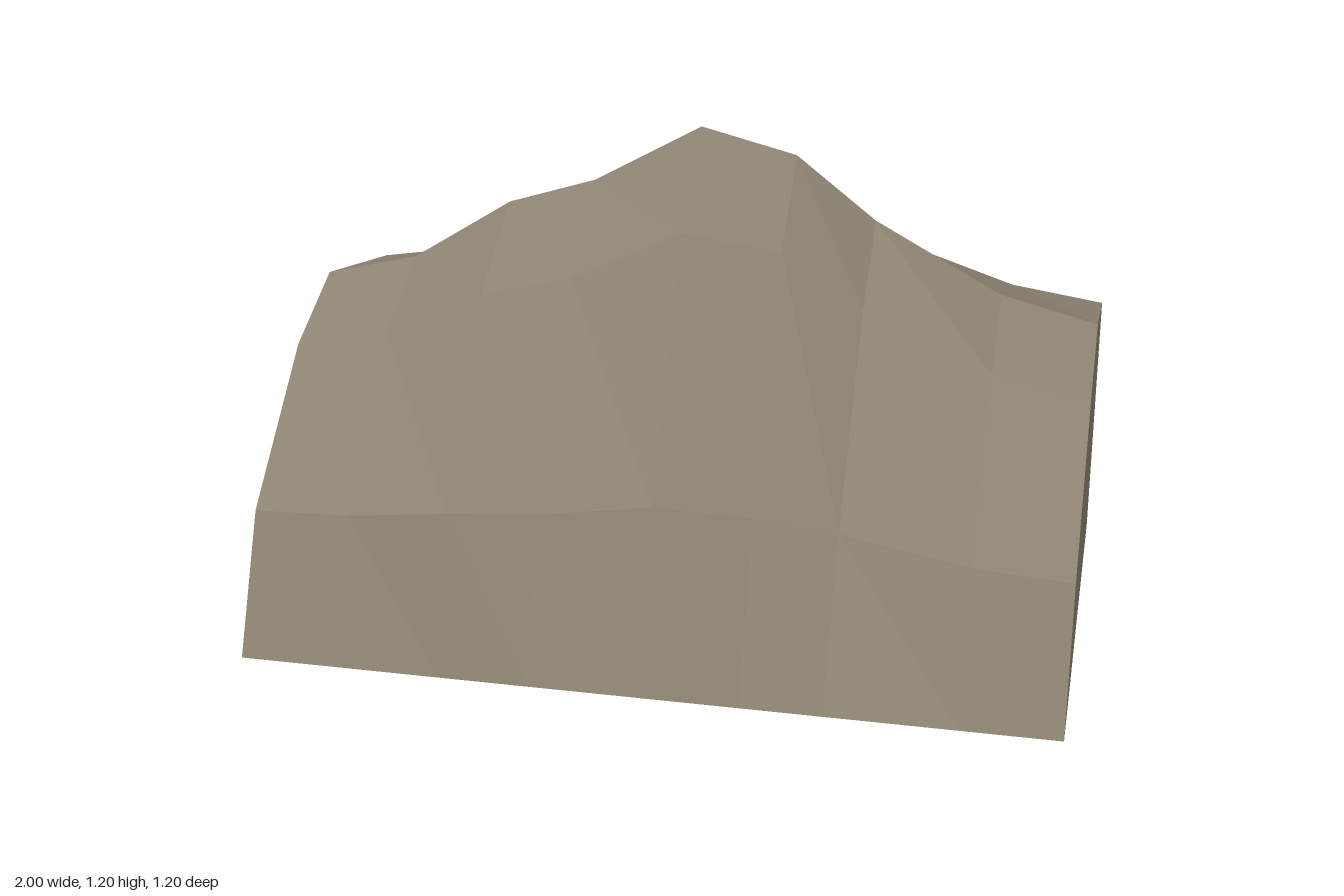
import * as THREE from 'three';

// Cross-sections along x: points run from the back edge over the ridge to the front slope.
// Each: x, backY, ridge [y, z], shoulder [y, z], low slope [y, z]
const SECTIONS = [
  [-1.0, 0.65, [0.75, -0.15], [0.64, 0.1], [0.33, 0.45]],
  [-0.76, 0.69, [0.81, -0.15], [0.69, 0.105], [0.34, 0.455]],
  [-0.5, 0.78, [0.975, -0.15], [0.82, 0.13], [0.38, 0.48]],
  [-0.28, 0.82, [1.04, -0.17], [0.865, 0.1], [0.385, 0.45]],
  [0, 0.9, [1.2, -0.15], [1.0, 0.1], [0.43, 0.45]],
  [0.24, 0.865, [1.14, -0.15], [0.955, 0.06], [0.41, 0.42]],
  [0.44, 0.79, [0.98, -0.16], [0.815, 0.05], [0.375, 0.39]],
  [0.76, 0.685, [0.81, -0.15], [0.69, 0.095], [0.34, 0.44]],
  [1.0, 0.65, [0.75, -0.15], [0.64, 0.1], [0.33, 0.45]],
];
const HALF_DEPTH = 0.6;

// Closed loop of points for one section: bottom back, up and over, to bottom front
function ring([x, backY, ...slope]) {
  return [
    [x, 0, -HALF_DEPTH],
    [x, backY, -HALF_DEPTH],
    ...slope.map(([y, z]) => [x, y, z]),
    [x, 0, HALF_DEPTH],
  ];
}

function facetedMesh(name, triangles, material) {
  const geometry = new THREE.BufferGeometry();
  geometry.setAttribute('position', new THREE.Float32BufferAttribute(triangles.flat(2), 3));
  geometry.computeVertexNormals();
  const mesh = new THREE.Mesh(geometry, material);
  mesh.name = name;
  return mesh;
}

export function createModel() {
  const group = new THREE.Group();
  group.name = 'rockRidge';
  const rock = new THREE.MeshStandardMaterial({ color: 0x8c8271 });
  rock.name = 'grey brown rock';
  rock.flatShading = true;

  const rings = SECTIONS.map(ring);
  const count = rings[0].length;
  const slopes = [], backWall = [], base = [], ends = [];

  // Skin between neighbouring sections
  for (let i = 0; i < rings.length - 1; i++) {
    for (let j = 0; j < count; j++) {
      const k = (j + 1) % count;
      const a = rings[i][j], b = rings[i][k], c = rings[i + 1][k], d = rings[i + 1][j];
      const part = j === 0 ? backWall : j === count - 1 ? base : slopes;
      part.push([a, b, c], [a, c, d]);
    }
  }

  // Flat cut ends
  const first = rings[0], last = rings[rings.length - 1];
  for (let j = 1; j < count - 1; j++) {
    ends.push([first[0], first[j + 1], first[j]], [last[0], last[j], last[j + 1]]);
  }

  group.add(
    facetedMesh('rockSlopes', slopes, rock),
    facetedMesh('backWall', backWall, rock),
    facetedMesh('base', base, rock),
    facetedMesh('cutEnds', ends, rock),
  );
  return group;
}
